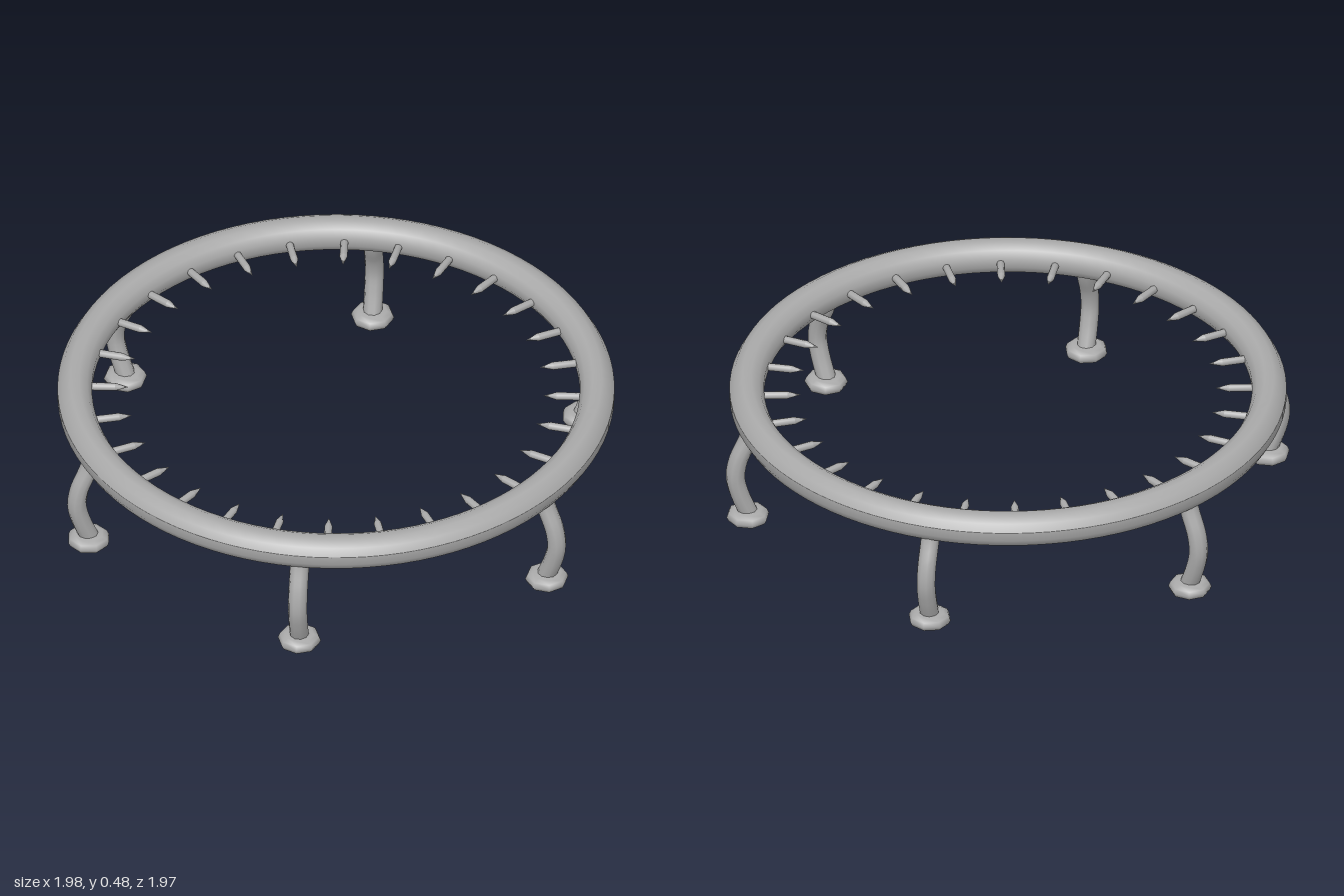
import * as THREE from 'three';

const RING_RADIUS = 0.923, RING_Y = 0.42, TUBE = 0.063;
const LEGS = 6, SPIKES = 28;

const lathe = (pts, sides) =>
  new THREE.LatheGeometry(pts.map(([r, y]) => new THREE.Vector2(r, y)), sides);

export function createModel() {
  const model = new THREE.Group();
  model.name = 'ringStand';
  const grey = new THREE.MeshStandardMaterial({ color: 0xaaaaaa });
  grey.name = 'plain grey';

  const add = (parent, name, geometry) => {
    const mesh = new THREE.Mesh(geometry, grey);
    mesh.name = name;
    parent.add(mesh);
    return mesh;
  };

  // Ring: a lathed round section
  const section = [];
  for (let i = 0; i <= 12; i++) {
    const a = (i / 12) * Math.PI * 2 + Math.PI / 12;
    section.push([RING_RADIUS + TUBE * Math.cos(a), RING_Y + TUBE * Math.sin(a)]);
  }
  add(model, 'ring', lathe(section, 96));

  // Legs: bowed outward, each standing on a flattened foot
  const legPath = new THREE.CatmullRomCurve3(
    [[0.925, 0.41], [0.943, 0.35], [0.978, 0.27], [0.988, 0.2], [0.972, 0.13], [0.938, 0.045]]
      .map(([x, y]) => new THREE.Vector3(x, y, 0)));
  const legGeometry = new THREE.TubeGeometry(legPath, 16, 0.034, 10);
  const footGeometry = lathe([
    [0, 0.0], [0.018, 0.013], [0.052, 0.014], [0.07, 0.023], [0.077, 0.038],
    [0.07, 0.054], [0.052, 0.063], [0.025, 0.065], [0, 0.066],
  ], 8);
  for (let i = 0; i < LEGS; i++) {
    const leg = new THREE.Group();
    leg.name = 'legAssembly';
    leg.rotation.y = -(THREE.MathUtils.degToRad(14.5) + (i / LEGS) * Math.PI * 2);
    add(leg, 'leg', legGeometry);
    add(leg, 'foot', footGeometry).position.x = 0.943;
    model.add(leg);
  }

  // Inward spikes: short rods with pointed tips
  const spikeGeometry = lathe(
    [[0, 0], [0.014, 0], [0.014, 0.11], [0.014, 0.11], [0, 0.157]], 8);
  spikeGeometry.rotateZ(Math.PI / 2);
  spikeGeometry.translate(0.89, RING_Y, 0);
  for (let i = 0; i < SPIKES; i++) {
    add(model, 'spike', spikeGeometry).rotation.y = (i / SPIKES) * Math.PI * 2;
  }
  return model;
}
